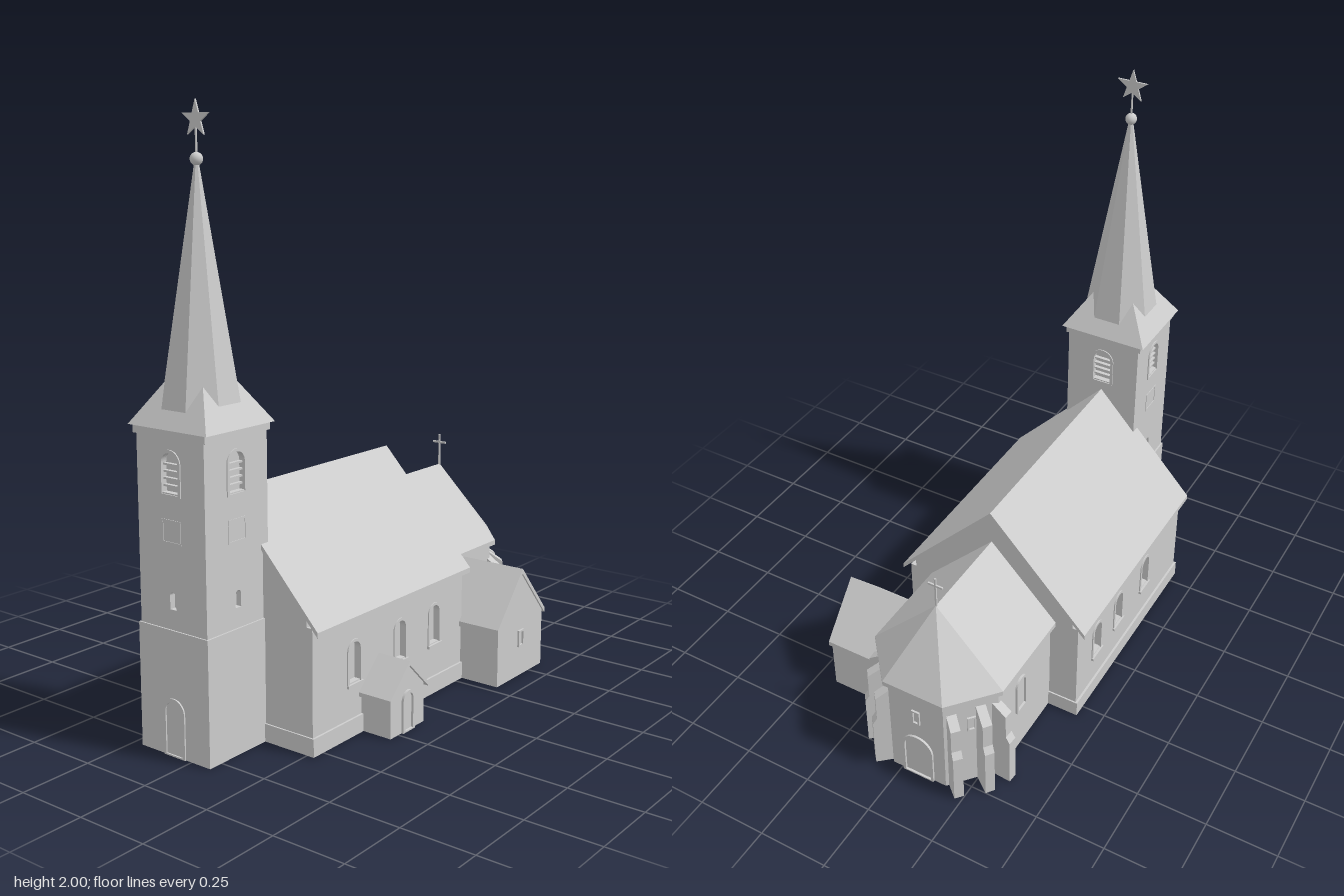
import * as THREE from 'three';

const stone = new THREE.MeshStandardMaterial({ color: 0xcccccc });
stone.name = 'pale stone';

const HALF_PI = Math.PI / 2;

function add(parent, name, geometry, x = 0, y = 0, z = 0, turn = 0) {
  const mesh = new THREE.Mesh(geometry, stone);
  mesh.name = name;
  mesh.position.set(x, y, z);
  mesh.rotation.y = turn;
  parent.add(mesh);
  return mesh;
}

function box(parent, name, w, h, d, x, y, z, turn = 0) {
  return add(parent, name, new THREE.BoxGeometry(w, h, d), x, y, z, turn);
}

function flat(geometry) {
  const g = geometry.toNonIndexed();
  g.computeVertexNormals();
  return g;
}

function polygon(points) {
  return new THREE.Shape(points.map(([x, y]) => new THREE.Vector2(x, y)));
}

function extrude(shape, depth) {
  return new THREE.ExtrudeGeometry(shape, { depth, bevelEnabled: false, curveSegments: 10 });
}

// Round-headed outline: x is the middle, y the foot
function arch(Type, x, y, w, h) {
  const p = new Type();
  p.moveTo(x - w / 2, y);
  p.lineTo(x + w / 2, y);
  p.lineTo(x + w / 2, y + h - w / 2);
  p.absarc(x, y + h - w / 2, w / 2, 0, Math.PI, false);
  p.closePath();
  return p;
}

// Wall slab with arched openings, each [x, y, w, h]
function wall(x0, x1, y0, y1, depth, openings) {
  const s = polygon([[x0, y0], [x1, y0], [x1, y1], [x0, y1]]);
  openings.forEach((o) => s.holes.push(arch(THREE.Path, ...o)));
  return extrude(s, depth);
}

// Raised arched surround
function archFrame(w, h, t = 0.01) {
  const s = arch(THREE.Shape, 0, 0, w, h);
  s.holes.push(arch(THREE.Path, 0, t / 2, w - 2 * t, h - 1.5 * t));
  return extrude(s, 0.009);
}

// Raised rectangular surround
function squareFrame(w, h, t = 0.006) {
  const a = w / 2, b = h / 2;
  const s = polygon([[-a, -b], [a, -b], [a, b], [-a, b]]);
  s.holes.push(polygon([[t - a, t - b], [t - a, b - t], [a - t, b - t], [a - t, t - b]]));
  return extrude(s, 0.008);
}

// Gabled body and roof running along z from z0 to z1
function hall(parent, name, { wallHalf, roofHalf, eave, ridge, z0, z1, over = 0.01, t = 0.018 }) {
  const g = new THREE.Group();
  g.name = name;
  const slope = (ridge - eave) / roofHalf;
  const top = ridge - t - slope * wallHalf;
  const body = polygon([[-wallHalf, 0], [wallHalf, 0], [wallHalf, top], [0, ridge - t], [-wallHalf, top]]);
  add(g, 'walls', extrude(body, z1 - z0 - 2 * over), 0, 0, z0 + over);
  const roof = polygon([
    [-roofHalf, eave - t], [0, ridge - t], [roofHalf, eave - t],
    [roofHalf, eave], [0, ridge], [-roofHalf, eave],
  ]);
  add(g, 'roof', extrude(roof, z1 - z0), 0, 0, z0);
  parent.add(g);
  return g;
}

function buildTower(parent) {
  const tower = new THREE.Group();
  tower.name = 'tower';
  tower.position.x = -0.657;
  parent.add(tower);
  box(tower, 'towerBase', 0.29, 0.41, 0.292, 0, 0.205, 0);
  box(tower, 'towerCore', 0.24, 0.62, 0.24, 0, 0.71, 0);
  for (let i = 0; i < 4; i++) {
    const side = new THREE.Group();
    side.name = 'towerSide';
    side.rotation.y = i * HALF_PI;
    tower.add(side);
    add(side, 'towerWall', wall(-0.14, 0.14, 0.41, 1.02, 0.02,
      [[0, 0.84, 0.07, 0.125], [0, 0.475, 0.025, 0.055]]), 0, 0, 0.12);
    add(side, 'belfryFrame', archFrame(0.088, 0.143), 0, 0.831, 0.135);
    for (let k = 0; k < 4; k++) box(side, 'louvre', 0.07, 0.006, 0.014, 0, 0.86 + k * 0.022, 0.126);
    if (i !== 1) add(side, 'towerPanel', squareFrame(0.08, 0.075), 0, 0.72, 0.134);
  }
  add(tower, 'westDoor', archFrame(0.09, 0.19), -0.141, 0, 0, -HALF_PI);
  box(tower, 'cornice', 0.29, 0.025, 0.3, 0, 1.022, 0);

  // Flared square skirt under an eight-sided spire
  const skirt = new THREE.CylinderGeometry(0, Math.SQRT2, 0.25, 4);
  skirt.rotateY(Math.PI / 4);
  skirt.scale(0.153, 1, 0.163);
  add(tower, 'spireSkirt', flat(skirt), 0, 1.16, 0);
  const spire = new THREE.CylinderGeometry(0.007, 0.135, 0.76, 8);
  spire.rotateY(Math.PI / 8);
  add(tower, 'spire', flat(spire), 0, 1.44, 0);
  add(tower, 'finialBall', new THREE.SphereGeometry(0.02, 16, 12), 0, 1.827, 0);
  add(tower, 'finialRod', new THREE.CylinderGeometry(0.003, 0.004, 0.12, 8), 0, 1.88, 0);
  const points = [];
  for (let i = 0; i < 10; i++) {
    const r = i % 2 ? 0.022 : 0.057, a = HALF_PI + i * Math.PI / 5;
    points.push([r * Math.cos(a), r * Math.sin(a)]);
  }
  add(tower, 'star', extrude(polygon(points), 0.006), -0.003, 1.943, 0, HALF_PI);
}

function buildNave(parent) {
  const nave = hall(parent, 'nave', { wallHalf: 0.315, roofHalf: 0.365, eave: 0.41, ridge: 0.8, z0: -0.55, z1: 0.3, over: 0.008 });
  nave.rotation.y = HALF_PI;
  const windows = { 1: [-0.33, -0.08, 0.12], [-1]: [-0.25, -0.03, 0.14] };
  for (const s of [1, -1]) {
    const xs = windows[s].map((x) => x * s);
    const start = s > 0 ? -0.542 : -0.292;
    add(parent, 'naveWall', wall(start, start + 0.834, 0, 0.415, 0.022,
      xs.map((x) => [x, 0.18, 0.058, 0.135])), 0, 0, s * 0.315, s > 0 ? 0 : Math.PI);
    windows[s].forEach((x) => {
      add(parent, 'naveWindowFrame', archFrame(0.076, 0.153), x, 0.171, s * 0.332, s > 0 ? 0 : Math.PI);
      box(parent, 'windowSill', 0.08, 0.01, 0.02, x, 0.172, s * 0.336);
    });
  }
  box(parent, 'plinth', 0.845, 0.06, 0.69, -0.125, 0.03, 0);
}

function buildChoir(parent) {
  const choir = new THREE.Group();
  choir.name = 'choir';
  parent.add(choir);
  const foot = [[0.28, -0.23], [0.645, -0.23], [0.79, -0.105], [0.79, 0.105], [0.645, 0.23], [0.28, 0.23]];
  const body = extrude(polygon(foot), 0.4);
  body.rotateX(-HALF_PI);
  add(choir, 'choirWalls', body);

  // Hipped roof closing over the three-sided end
  const rim = [[0.28, -0.25], [0.65, -0.25], [0.807, -0.115], [0.807, 0.115], [0.65, 0.25], [0.28, 0.25]];
  const eaves = extrude(polygon(rim), 0.018);
  eaves.rotateX(-HALF_PI);
  add(choir, 'choirEaves', eaves, 0, 0.392, 0);
  const e = rim.map(([x, z]) => [x, 0.41, z]);
  const r0 = [0.28, 0.67, 0], r1 = [0.645, 0.67, 0];
  const faces = [e[0], r0, r1, e[0], r1, e[1], e[5], r1, r0, e[5], e[4], r1,
    e[1], r1, e[2], e[2], r1, e[3], e[3], r1, e[4], e[0], e[5], r0];
  const roof = new THREE.BufferGeometry();
  roof.setAttribute('position', new THREE.Float32BufferAttribute(faces.flat(), 3));
  roof.computeVertexNormals();
  add(choir, 'choirRoof', roof);

  box(choir, 'crossPost', 0.006, 0.12, 0.006, 0.642, 0.725, 0);
  box(choir, 'crossBar', 0.006, 0.007, 0.055, 0.642, 0.755, 0);

  // Stepped buttresses with sloping heads
  const profile = polygon([[0, 0], [0.085, 0], [0.085, 0.19], [0.07, 0.215], [0.07, 0.31], [0, 0.36]]);
  const buttress = extrude(profile, 0.034);
  buttress.translate(0, 0, -0.017);
  for (const s of [1, -1]) {
    for (const [x, z, angle] of [[0.645, 0.2, 1.5], [0.685, 0.18, 0.92], [0.752, 0.105, 0.85]]) {
      add(choir, 'buttress', buttress, x, 0, s * z, -s * angle);
    }
    add(choir, 'choirWindowFrame', archFrame(0.07, 0.15), 0.5, 0.18, s * 0.229, s > 0 ? 0 : Math.PI);
    add(choir, 'apseWindowFrame', squareFrame(0.03, 0.06), 0.717, 0.28, s * 0.167, s > 0 ? 0.71 : Math.PI - 0.71);
  }
  add(choir, 'apseArch', archFrame(0.12, 0.19), 0.789, 0, 0, HALF_PI);
  add(choir, 'apseWindowFrame', squareFrame(0.03, 0.06), 0.789, 0.285, 0, HALF_PI);
}

export function createModel() {
  const model = new THREE.Group();
  model.name = 'church';
  const church = new THREE.Group();
  church.name = 'churchBody';
  church.position.z = -0.068;
  model.add(church);

  buildTower(church);
  buildNave(church);
  buildChoir(church);

  const porch = hall(church, 'porch', { wallHalf: 0.092, roofHalf: 0.106, eave: 0.135, ridge: 0.238, z0: 0.3, z1: 0.463, t: 0.014 });
  porch.position.x = -0.2;
  add(porch, 'porchDoor', archFrame(0.064, 0.14), 0, 0, 0.452);

  const sacristy = hall(church, 'sacristy', { wallHalf: 0.15, roofHalf: 0.16, eave: 0.212, ridge: 0.396, z0: 0.15, z1: 0.498, over: 0.006 });
  sacristy.position.x = 0.438;
  add(sacristy, 'sacristyWindowFrame', squareFrame(0.035, 0.06), 0, 0.14, 0.491);

  return model;
}
